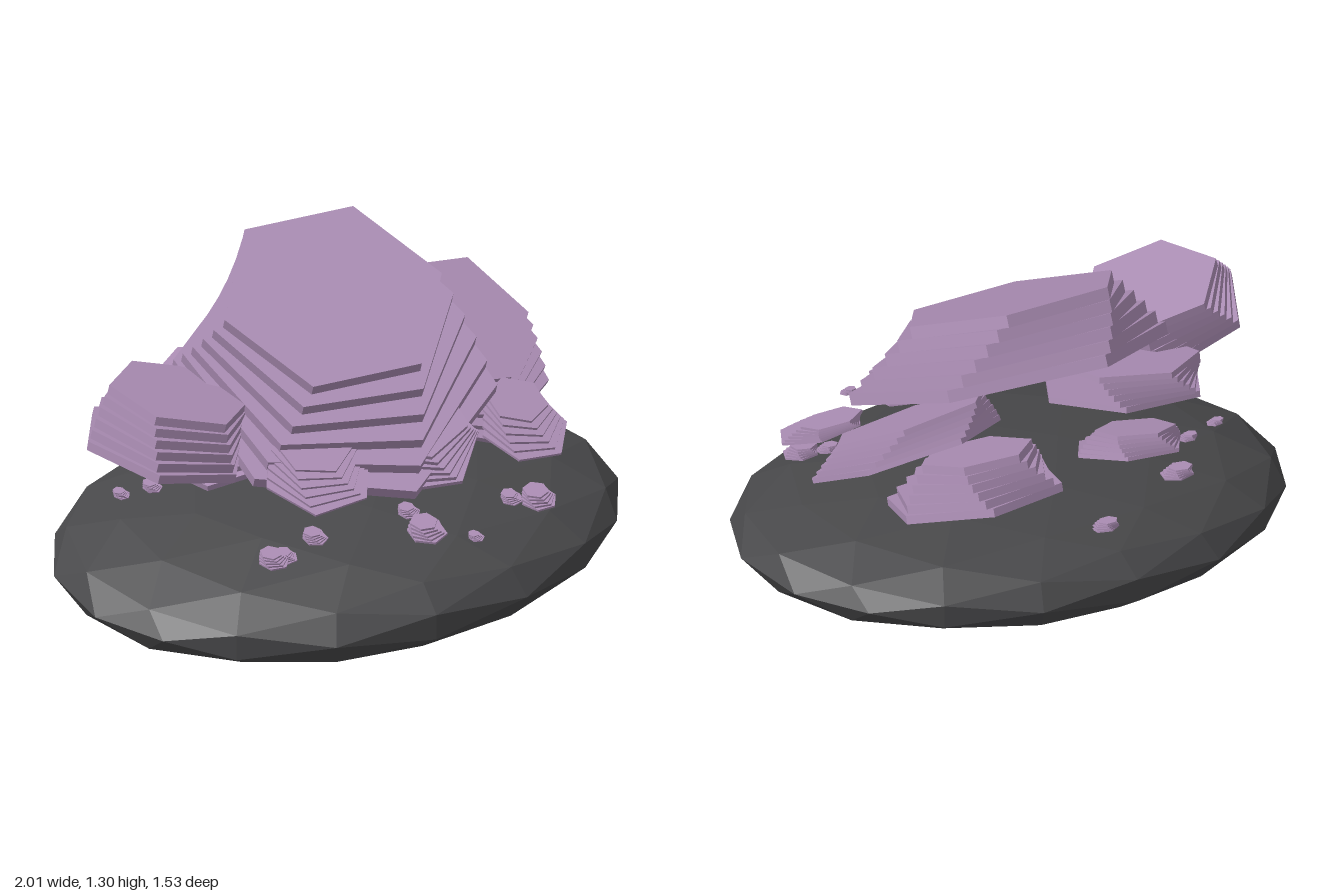
import * as THREE from 'three';

const crystal = new THREE.MeshStandardMaterial({ color: 0xac8eb5 });
crystal.name = 'mauve crystal';
crystal.flatShading = true;
const stone = new THREE.MeshStandardMaterial({ color: 0x48484a });
stone.name = 'charcoal stone';
stone.flatShading = true;

// Hexagonal slabs running from a top centre to a bottom centre, turning a little each layer
function slabStack({ name, top, bottom, r, layers = 6, tilt = [0.5, 0], spin = 30, step = 5 }) {
  const group = new THREE.Group();
  group.name = name;
  group.position.set(...top);
  group.rotation.set(tilt[0], 0, tilt[1]);
  const slide = new THREE.Vector3(...bottom).sub(group.position)
    .applyQuaternion(group.quaternion.clone().invert());
  const thickness = Math.abs(slide.y) / (layers - 1);
  for (let i = 0; i < layers; i++) {
    const t = i / (layers - 1);
    const radius = THREE.MathUtils.lerp(r[0], r[1], t);
    const slab = new THREE.Mesh(new THREE.CylinderGeometry(radius, radius, thickness, 6), crystal);
    slab.name = 'hexagonalSlab';
    slab.position.copy(slide).multiplyScalar(t);
    slab.position.y -= thickness / 2;
    slab.rotation.y = THREE.MathUtils.degToRad(spin + step * i);
    group.add(slab);
  }
  return group;
}

export function createModel() {
  const model = new THREE.Group();
  model.name = 'crystalRock';

  // Flattened, leaning base boulder
  const boulder = new THREE.IcosahedronGeometry(1, 2);
  boulder.rotateY(0.16);
  const p = boulder.attributes.position;
  for (let i = 0; i < p.count; i++) {
    const x = p.getX(i), y = p.getY(i), z = p.getZ(i);
    p.setXYZ(i, 1.005 * x, 0.25 + 0.225 * y + 0.07 * x - 0.092 * z, 0.775 * z - 0.04 * x);
  }
  boulder.computeVertexNormals();
  const base = new THREE.Mesh(boulder, stone);
  base.name = 'baseBoulder';
  model.add(base);

  // Floating crystal stacks
  const stacks = [
    { name: 'mainStack', top: [-0.01, 1.115, 0], bottom: [-0.01, 0.845, 0.03], r: [0.4, 0.56], tilt: [0.53, 0], spin: 37, step: -4 },
    { name: 'leftHandStack', top: [-0.6, 0.89, 0.16], bottom: [-0.66, 0.735, 0.2], r: [0.25, 0.3], tilt: [0.07, -0.2], spin: 26, step: 3 },
    { name: 'rightBackStack', top: [0.46, 0.88, -0.2], bottom: [0.46, 0.74, -0.17], r: [0.29, 0.34], tilt: [0.58, -0.1], spin: 35, step: -4 },
    { name: 'backStack', top: [0.33, 0.885, -0.48], bottom: [0.33, 0.71, -0.46], r: [0.2, 0.32], tilt: [0.42, 0], spin: 25 },
    { name: 'backLeftStack', top: [-0.3, 0.75, -0.4], bottom: [-0.29, 0.66, -0.37], r: [0.14, 0.2], tilt: [0.4, 0.1], spin: 12 },
    { name: 'middleLeftStack', top: [-0.42, 0.79, -0.06], bottom: [-0.42, 0.66, -0.02], r: [0.25, 0.3], tilt: [0.3, 0.1], spin: 15 },
    { name: 'frontStack', top: [-0.17, 0.73, 0.34], bottom: [-0.17, 0.65, 0.39], r: [0.14, 0.2], tilt: [0.5, 0], spin: 20 },
    { name: 'frontCentreStack', top: [0.2, 0.75, 0.24], bottom: [0.2, 0.66, 0.26], r: [0.2, 0.24], tilt: [0.45, 0], spin: 8 },
    { name: 'frontRightStack', top: [0.61, 0.71, 0.12], bottom: [0.62, 0.63, 0.19], r: [0.11, 0.16], tilt: [0.4, -0.1], spin: 14 },
  ];
  stacks.forEach((s) => model.add(slabStack(s)));

  // Small shards close to the boulder: x, y, z, radius
  const shards = [
    [-0.39, 0.45, 0.59, 0.055], [-0.34, 0.44, 0.57, 0.04], [0.18, 0.46, 0.49, 0.07],
    [0.33, 0.44, 0.59, 0.028], [0.62, 0.46, 0.33, 0.065], [0.53, 0.45, 0.31, 0.04],
    [-0.2, 0.44, 0.43, 0.045], [0.16, 0.45, 0.33, 0.04], [-0.5, 0.48, -0.33, 0.06],
    [-0.14, 0.49, -0.53, 0.05], [-0.63, 0.44, -0.12, 0.035], [-0.75, 0.44, -0.08, 0.03],
  ];
  shards.forEach(([x, y, z, radius], i) => model.add(slabStack({
    name: 'smallShard', top: [x, y, z], bottom: [x + 0.01, y - 0.5 * radius, z + 0.1 * radius],
    r: [radius * 0.7, radius], layers: 5, tilt: [0.25, 0], spin: i * 17, step: 9,
  })));

  return model;
}
